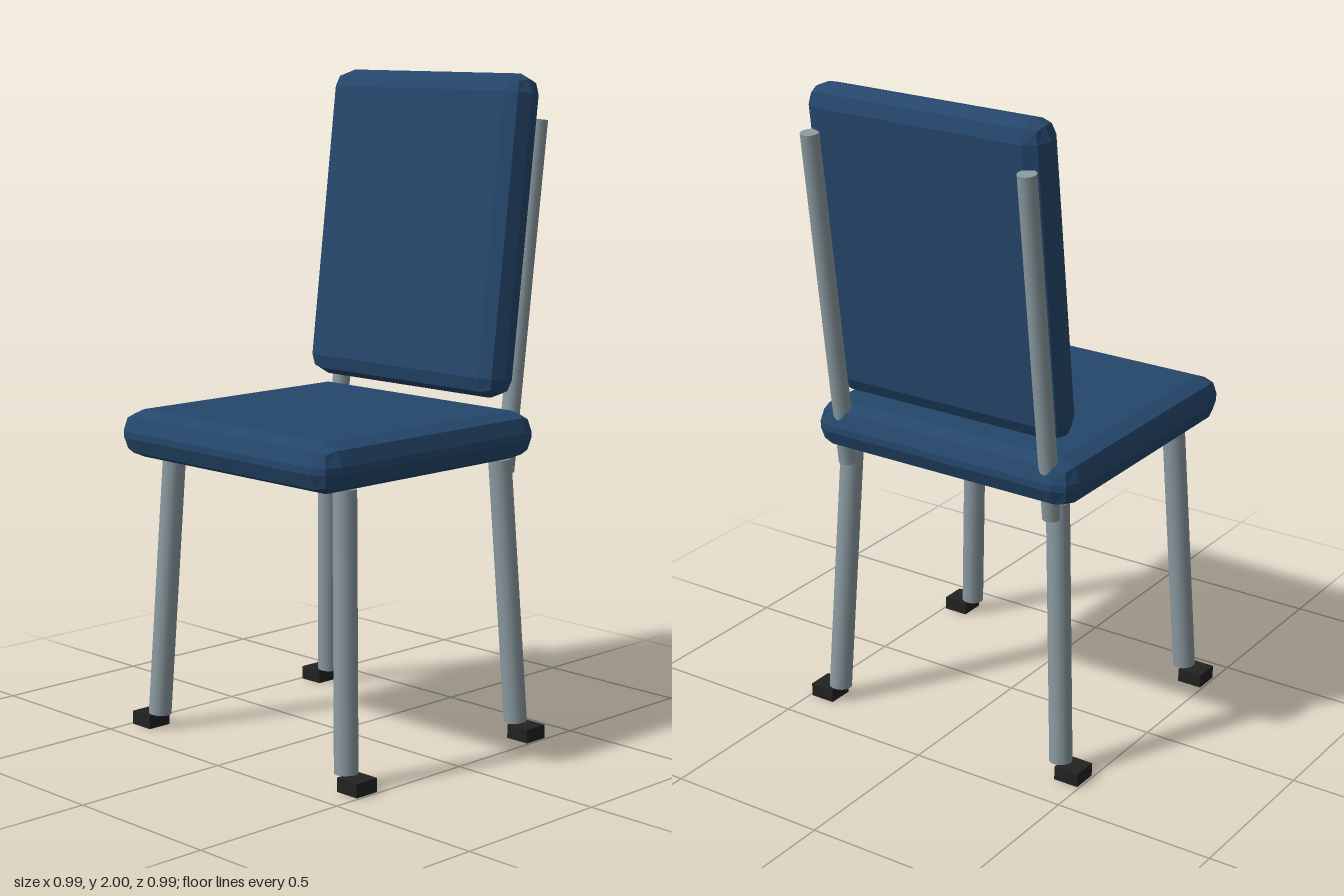
import * as THREE from 'three';

const blue = new THREE.MeshStandardMaterial({ color: 0x25476c });
blue.name = 'blueUpholstery';
blue.flatShading = true;
const steel = new THREE.MeshStandardMaterial({ color: 0x8a999f });
steel.name = 'greyMetal';
const rubber = new THREE.MeshStandardMaterial({ color: 0x222222 });
rubber.name = 'blackRubber';

// Box whose edges are rounded by two facets of radius r
function cushionGeometry(w, h, d, r) {
  const geo = new THREE.BoxGeometry(2, 2, 2, 3, 3, 3);
  const pos = geo.attributes.position;
  const half = new THREE.Vector3(w / 2 - r, h / 2 - r, d / 2 - r);
  const p = new THREE.Vector3();
  for (let i = 0; i < pos.count; i++) {
    p.fromBufferAttribute(pos, i);
    const core = new THREE.Vector3(Math.sign(p.x), Math.sign(p.y), Math.sign(p.z)).multiply(half);
    const dir = new THREE.Vector3(...p.toArray().map((v) => (Math.abs(v) > 0.9 ? Math.sign(v) : 0)));
    p.copy(core).addScaledVector(dir.normalize(), r);
    pos.setXYZ(i, p.x, p.y, p.z);
  }
  geo.computeVertexNormals();
  return geo;
}

// Round tube between two points
function rod(name, from, to, radius) {
  const a = new THREE.Vector3(...from);
  const b = new THREE.Vector3(...to);
  const axis = b.clone().sub(a);
  const mesh = new THREE.Mesh(new THREE.CylinderGeometry(radius, radius, axis.length(), 16), steel);
  mesh.name = name;
  mesh.position.copy(a).add(b).multiplyScalar(0.5);
  mesh.quaternion.setFromUnitVectors(new THREE.Vector3(0, 1, 0), axis.normalize());
  return mesh;
}

export function createModel() {
  const chair = new THREE.Group();
  chair.name = 'chair';

  // Cushions
  const seat = new THREE.Mesh(cushionGeometry(0.908, 0.145, 0.89, 0.062), blue);
  seat.name = 'seat';
  seat.position.set(0, 0.932, 0.053);
  const backrest = new THREE.Mesh(cushionGeometry(0.8, 0.963, 0.125, 0.057), blue);
  backrest.name = 'backrest';
  backrest.position.set(0, 1.52, -0.349);
  backrest.rotation.x = -0.123;
  chair.add(seat, backrest);

  for (const [side, s] of [['left', 1], ['right', -1]]) {
    // Posts carrying the backrest
    chair.add(rod(side + 'BackPost', [s * 0.365, 0.815, -0.337], [s * 0.365, 1.862, -0.469], 0.028));

    // Splayed legs with offset feet
    for (const [end, topZ, footZ] of [['Front', 0.34, 0.375], ['Back', -0.31, -0.348]]) {
      chair.add(rod(side + end + 'Leg', [s * 0.41, 0.045, footZ], [s * 0.368, 0.857, topZ], 0.035));
      const foot = new THREE.Mesh(new THREE.BoxGeometry(0.08, 0.042, 0.08), rubber);
      foot.name = side + end + 'Foot';
      foot.position.set(s * 0.453, 0.021, footZ);
      chair.add(foot);
    }
  }
  return chair;
}
